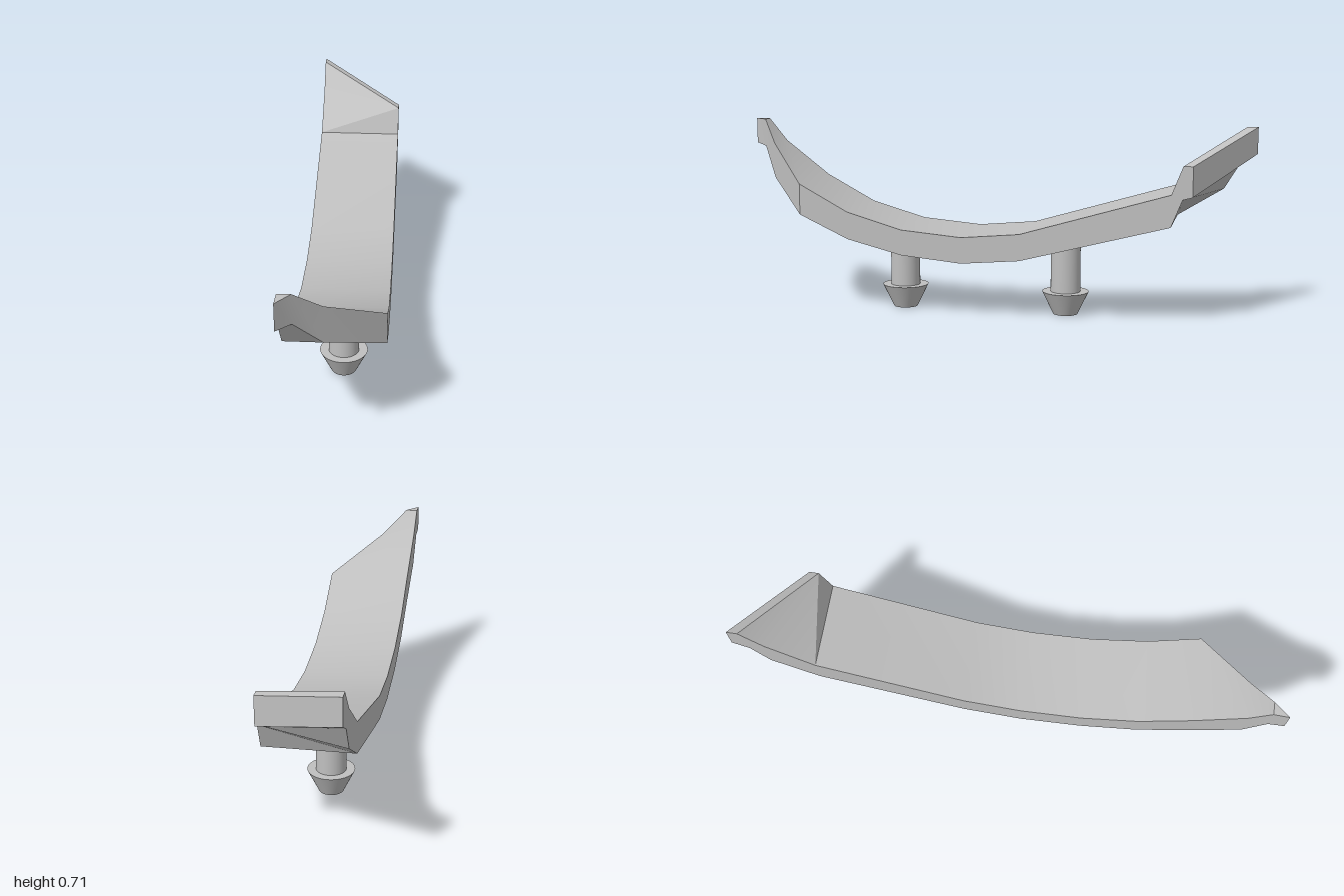
import * as THREE from 'three';
import { toCreasedNormals } from 'three/addons/utils/BufferGeometryUtils.js';

// Section corners: left top, right top, right bottom, left bottom
const section = (xl, xr, zl, tl, bl, zr = zl, tr = tl, br = bl, zlb = zl) => [
  new THREE.Vector3(xl, tl, zl),
  new THREE.Vector3(xr, tr, zr),
  new THREE.Vector3(xr, br, zr),
  new THREE.Vector3(xl, bl, zlb),
];

// Skin a run of four-cornered sections, front to back
function loft(sections) {
  const pos = [];
  const tri = (a, b, c) => {
    const area = b.clone().sub(a).cross(c.clone().sub(a)).length();
    if (area > 1e-7) for (const p of [a, b, c]) pos.push(p.x, p.y, p.z);
  };
  for (let i = 0; i < sections.length - 1; i++) {
    for (let j = 0; j < 4; j++) {
      const k = (j + 1) % 4;
      const a = sections[i][j], b = sections[i][k];
      const a2 = sections[i + 1][j], b2 = sections[i + 1][k];
      if (j === 2) { // underside fans toward the right edge
        tri(a, b, a2);
        tri(b, b2, a2);
      } else {
        tri(a, b, b2);
        tri(a, b2, a2);
      }
    }
  }
  const [a, b, c, d] = sections[sections.length - 1];
  tri(a, b, c);
  tri(a, c, d);
  const g = new THREE.BufferGeometry();
  g.setAttribute('position', new THREE.Float32BufferAttribute(pos, 3));
  return toCreasedNormals(g, 0.33);
}

export function createModel() {
  const group = new THREE.Group();
  const grey = new THREE.MeshStandardMaterial({ color: 0xc0c0c0 });
  grey.name = 'light grey';

  const L = -0.157, R = 0.167;
  const sections = [
    // diagonal front tip
    section(-0.168, -0.168, 1, 0.708, 0.609),
    section(-0.166, -0.12, 0.943, 0.708, 0.6),
    section(-0.163, -0.03, 0.868, 0.62, 0.485),
    // curved body
    section(L, R, 0.69, 0.487, 0.37),
    section(L, R, 0.5, 0.385, 0.282),
    section(L, R, 0.29, 0.325, 0.229),
    section(L, R, 0.06, 0.305, 0.207),
    section(L, R, -0.16, 0.325, 0.226),
    section(L, R, -0.71, 0.487, 0.37),
    // upturned diagonal back lip
    section(L, R, -0.88, 0.615, 0.475, -0.75, 0.59, 0.47),
    section(L, R, -0.96, 0.708, 0.575, -0.75, 0.59, 0.47, -0.94),
    section(L, R, -1, 0.708, 0.608, -0.785, 0.59, 0.48),
  ];
  const plate = new THREE.Mesh(loft(sections), grey);
  plate.name = 'curvedPlate';
  group.add(plate);

  // Push-in pegs under the plate
  for (const [name, z, top] of [['frontPeg', 0.323, 0.27], ['backPeg', -0.307, 0.3]]) {
    const peg = new THREE.Group();
    peg.name = name;
    const stem = new THREE.Mesh(new THREE.CylinderGeometry(0.056, 0.056, top - 0.08, 40), grey);
    stem.name = 'stem';
    stem.position.y = (top + 0.08) / 2;
    const head = new THREE.Mesh(new THREE.CylinderGeometry(0.088, 0.046, 0.087, 40), grey);
    head.name = 'taperedHead';
    head.position.y = 0.0435;
    peg.add(stem, head);
    peg.position.z = z;
    group.add(peg);
  }
  return group;
}
